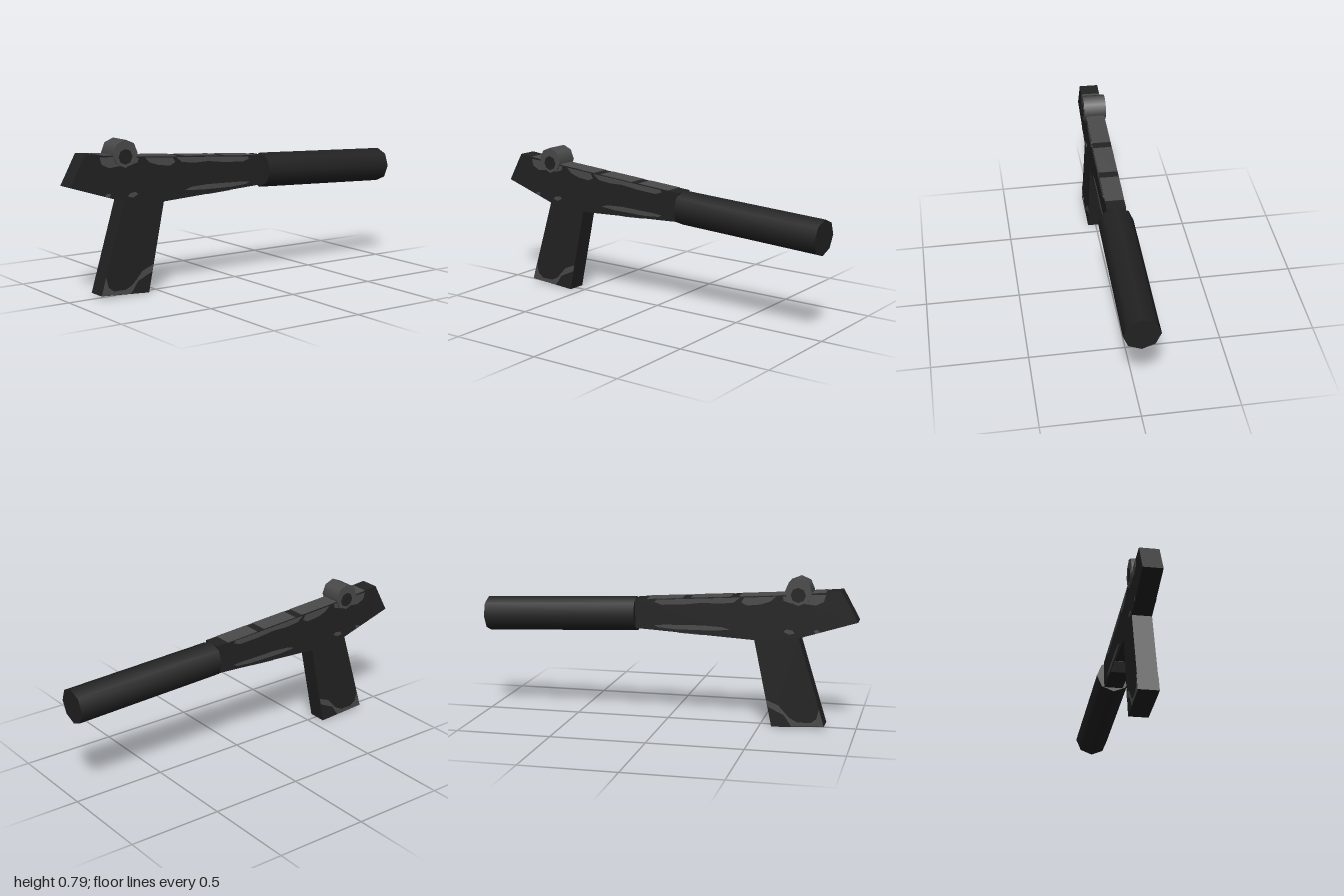
import * as THREE from 'three';

export function createModel() {
  const model = new THREE.Group();
  const gun = new THREE.Group();
  gun.name = 'pistol';
  model.add(gun);

  const black = new THREE.MeshStandardMaterial({ color: 0x222222 });
  black.name = 'black metal';
  const grey = new THREE.MeshStandardMaterial({ color: 0x4a4a4a });
  grey.name = 'worn grey';

  const HALF = 0.05; // half thickness of the body
  const add = (name, geometry, material, parent = gun) => {
    const mesh = new THREE.Mesh(geometry, material);
    mesh.name = name;
    parent.add(mesh);
    return mesh;
  };
  const toShape = pts => new THREE.Shape(pts.map(p => new THREE.Vector2(...p)));
  const extrude = (shape, depth) =>
    new THREE.ExtrudeGeometry(shape, { depth, bevelEnabled: false, curveSegments: 6 });

  // Frame and grip in one side profile
  const frame = add('frameAndGrip', extrude(toShape([
    [-1, 0.575], [-0.7, 0.48], [-0.84, 0.02], [-0.565, 0.003], [-0.47, 0.46],
    [0.165, 0.495], [0.165, 0.648], [-0.6, 0.7], [-0.915, 0.73],
  ]), HALF * 2), black);
  frame.position.z = -HALF;

  // Worn patches, repeated as thin plates on both sides
  const patches = {
    rearPatch: [[-0.835, 0.71], [-0.825, 0.675], [-0.785, 0.655], [-0.73, 0.66],
      [-0.66, 0.66], [-0.62, 0.672], [-0.615, 0.694], [-0.75, 0.708]],
    middlePatch: [[-0.58, 0.692], [-0.55, 0.665], [-0.5, 0.648], [-0.43, 0.64],
      [-0.4, 0.655], [-0.415, 0.68]],
    frontPatch: [[-0.395, 0.68], [-0.36, 0.652], [-0.28, 0.643], [-0.2, 0.645],
      [-0.1, 0.632], [0.02, 0.625], [0.06, 0.638], [0.05, 0.65]],
    lowerPatch: [[-0.34, 0.508], [-0.25, 0.5], [-0.05, 0.498], [0.04, 0.505],
      [0.06, 0.515], [0, 0.52], [-0.2, 0.525], [-0.3, 0.52]],
    gripPatch: [[-0.812, 0.11], [-0.838, 0.021], [-0.67, 0.012], [-0.63, 0.07],
      [-0.545, 0.11], [-0.537, 0.145], [-0.6, 0.12], [-0.66, 0.055],
      [-0.7, 0.035], [-0.77, 0.035], [-0.8, 0.06]],
    hingeSpot: [[-0.68, 0.505], [-0.65, 0.497], [-0.62, 0.512], [-0.635, 0.524], [-0.665, 0.52]],
    rearSpot: [[-0.81, 0.518], [-0.785, 0.508], [-0.775, 0.525], [-0.795, 0.528]],
  };
  for (const [name, pts] of Object.entries(patches)) {
    const geo = extrude(toShape(pts), 0.003);
    for (const z of [HALF - 0.001, -HALF - 0.002]) add(name, geo, grey).position.z = z;
  }

  // Thin plates along the sloping top and underside
  const strip = (name, x0, x1, yAt) => {
    const y0 = yAt(x0), y1 = yAt(x1);
    const mesh = add(name, new THREE.BoxGeometry(Math.hypot(x1 - x0, y1 - y0), 0.004, HALF * 2), grey);
    mesh.position.set((x0 + x1) / 2, (y0 + y1) / 2, 0);
    mesh.rotation.z = Math.atan2(y1 - y0, x1 - x0);
  };
  const topY = x => (x < -0.6 ? 0.7 - (x + 0.6) * 0.0952 : 0.7 - (x + 0.6) * 0.068);
  const underY = x => 0.46 + (x + 0.47) * 0.0551;
  for (const [a, b] of [[-0.835, -0.6], [-0.6, -0.39], [-0.345, -0.135], [-0.09, 0.1]])
    strip('topPlate', a, b, topY);
  strip('undersidePatch', -0.2, -0.06, underY);

  // Rear sight: octagonal drum with a dark hub on each end
  const sight = new THREE.Group();
  sight.name = 'rearSight';
  sight.position.set(-0.695, 0.72, 0);
  gun.add(sight);
  add('sightDrum', new THREE.CylinderGeometry(0.07, 0.07, 0.12, 8), grey, sight).rotation.x = Math.PI / 2;
  for (const z of [-0.06, 0.06]) {
    const hub = add('sightHub', new THREE.CylinderGeometry(0.039, 0.039, 0.004, 8), black, sight);
    hub.rotation.x = Math.PI / 2;
    hub.position.set(0, -0.015, z);
  }

  // Long eight-sided barrel sleeve, tilted slightly down
  const sleeve = add('barrelSleeve', new THREE.CylinderGeometry(0.092, 0.092, 0.832, 8), black);
  sleeve.position.set(0.58, 0.547, 0.002);
  sleeve.rotation.z = -Math.PI / 2 - 0.042;

  // Slight lean and turn of the whole piece
  gun.rotation.set(-0.008, -0.007, 0);
  gun.position.z = -0.002;
  return model;
}
